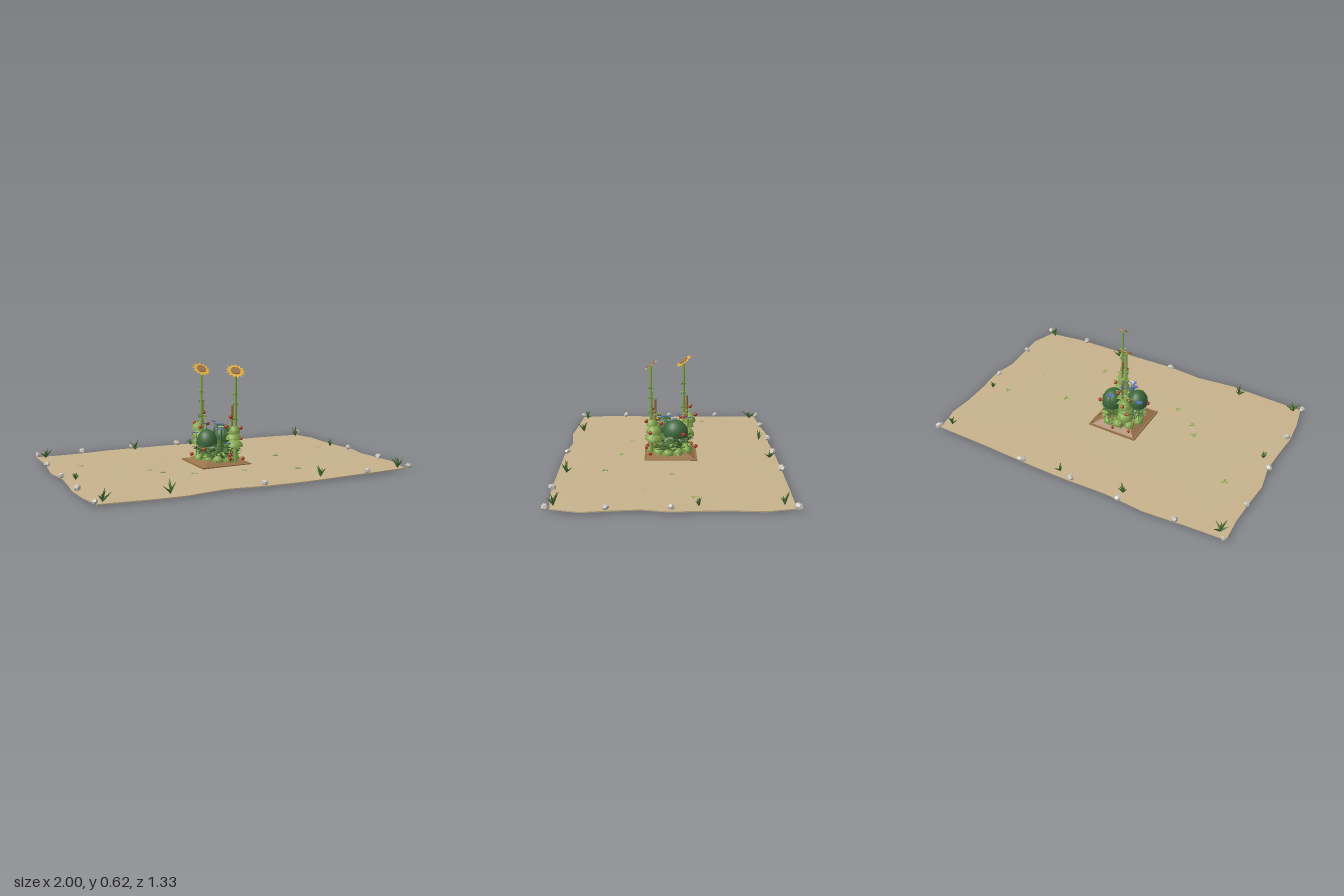
import * as THREE from 'three';
import { mergeGeometries } from 'three/addons/utils/BufferGeometryUtils.js';

const mat = (name, color, open = false) => {
  const m = new THREE.MeshStandardMaterial({ color });
  m.name = name;
  if (open) m.side = THREE.DoubleSide;
  return m;
};

export function createModel() {
  const model = new THREE.Group();
  model.name = 'gardenPatch';
  const M = {
    sand: mat('sand', 0xc7b28c), soil: mat('soil', 0x98734b), bush: mat('bushGreen', 0x3e683c, true),
    leaf: mat('leafGreen', 0x86a94e, true), grass: mat('grassGreen', 0x4a7034, true),
    red: mat('red', 0xb8322b), yellow: mat('petalYellow', 0xeab43a, true),
    seed: mat('seedBrown', 0x9a7450), stone: mat('stoneGrey', 0xcac5bc, true), blue: mat('petalBlue', 0x4a6cba, true),
  };
  let seed = 7;
  const rnd = (a = 0, b = 1) => {
    seed = (seed * 16807) % 2147483647;
    return a + (b - a) * seed / 2147483647;
  };

  // Collects copies of small shapes, merged into one mesh per part
  const parts = {};
  const put = (name, material, geo, x, y, z, rx = 0, ry = 0, rz = 0, s = [1, 1, 1], flat = false) => {
    const g = geo.index ? geo.toNonIndexed() : geo.clone();
    g.deleteAttribute('uv');
    g.applyMatrix4(new THREE.Matrix4().compose(new THREE.Vector3(x, y, z),
      new THREE.Quaternion().setFromEuler(new THREE.Euler(rx, ry, rz, 'YXZ')), new THREE.Vector3(...s)));
    if (flat) g.computeVertexNormals();
    (parts[name] ??= { material, list: [] }).list.push(g);
  };

  // Folded leaf pointing along +z, unit length, upper face forward
  const leafGeo = new THREE.BufferGeometry();
  leafGeo.setAttribute('position', new THREE.Float32BufferAttribute([
    0, 0, 0, 0, -0.08, 1, 0.5, 0.1, 0.4, 0, 0, 0, -0.5, 0.1, 0.4, 0, -0.08, 1], 3));
  leafGeo.computeVertexNormals();
  const leaf = (name, m, x, y, z, yaw, pitch, len, w) =>
    put(name, m, leafGeo, x, y, z, -pitch, yaw, 0, [w, len, len], true);
  const whorl = (name, m, x, y, z, n, pitch, len, w, turn = 0) => {
    for (let i = 0; i < n; i++) leaf(name, m, x, y, z, turn + i * 2 * Math.PI / n, pitch, len, w);
  };

  // Uneven sheet of ground with a wavy outline
  const edge = {
    left: [0.98, 0.975, 0.985, 1, 0.975, 0.985, 1, 0.99, 0.96],
    right: [0.955, 0.99, 0.98, 0.985, 1, 0.97, 0.985, 1, 0.95],
    back: [0.63, 0.64, 0.66, 0.645, 0.652, 0.65, 0.645, 0.64, 0.635],
    front: [0.63, 0.645, 0.66, 0.632, 0.655, 0.652, 0.648, 0.642, 0.615],
  };
  const sample = (a, t) => {
    const i = Math.min(7, Math.floor(t * 8));
    return THREE.MathUtils.lerp(a[i], a[i + 1], t * 8 - i);
  };
  const ground = new THREE.BoxGeometry(2, 0.006, 1.3, 24, 1, 16);
  const p = ground.attributes.position;
  for (let i = 0; i < p.count; i++) {
    const u = p.getX(i), v = p.getZ(i) / 0.65;
    const tx = (u + 1) / 2, tz = (v + 1) / 2;
    const rim = Math.max(Math.abs(u), Math.abs(v)) ** 4;
    p.setXYZ(i, u * sample(u < 0 ? edge.left : edge.right, tz),
      p.getY(i) + 0.012 - 0.004 * rim + 0.002 * Math.sin(u * 7 + v * 3),
      v * sample(v < 0 ? edge.back : edge.front, tx));
  }
  ground.computeVertexNormals();
  put('ground', M.sand, ground, 0, 0, 0);

  // Planting bed: thin rim sunk through the ground, low mound on top
  for (const s of [-1, 1]) {
    put('bedRim', M.soil, new THREE.BoxGeometry(0.012, 0.022, 0.32), -0.007 + s * 0.156, 0.011, -0.004);
    put('bedRim', M.soil, new THREE.BoxGeometry(0.3, 0.022, 0.012), -0.007, 0.011, -0.004 + s * 0.154);
  }
  put('bedMound', M.soil, new THREE.CylinderGeometry(0.14, 0.223, 0.034, 4, 1), -0.007, 0.029, -0.004, 0, Math.PI / 4, 0, [1, 1, 1], true);

  // Border stones
  const rock = new THREE.DodecahedronGeometry(1, 0);
  [[-0.97, -0.64], [-0.68, -0.64], [-0.33, -0.65], [-0.01, -0.64], [0.33, -0.645], [0.965, -0.64], [-0.98, -0.34],
    [-0.98, 0], [-0.975, 0.32], [0.97, 0], [0.97, 0.33], [-0.97, 0.63], [-0.02, 0.64], [0.66, 0.64], [0.965, 0.635],
  ].forEach(([x, z]) => {
    const s = rnd(0.016, 0.022);
    put('borderStones', M.stone, rock, x, 0.026, z, rnd(0, 3), rnd(0, 3), rnd(0, 3), [s, s * rnd(1, 1.35), s * 0.85], true);
  });

  // Grass tufts along the border
  [[-0.93, -0.59], [-0.33, -0.59], [0.08, -0.61], [0.91, -0.58], [0.92, -0.14], [-0.92, 0.08], [-0.92, 0.6],
    [-0.55, 0.59], [0.365, 0.6], [0.91, 0.6]].forEach(([x, z], k) => {
    const s = k === 2 || k === 4 || k === 5 ? 0.7 : 1;
    for (let i = 0; i < 7; i++)
      leaf('grassTufts', M.grass, x, 0.01, z, i * 0.9 + rnd(), rnd(0.75, 1.45), s * rnd(0.045, 0.08), 0.014);
  });

  // Small sprouts on the open ground
  [[-0.8, -0.23], [-0.47, 0.06], [-0.42, 0.145], [-0.27, 0.245], [0.03, 0.3], [0.35, 0.38], [0.42, -0.01], [0.81, -0.12]]
    .forEach(([x, z]) => whorl('sprouts', M.leaf, x, 0.017, z, 3, 0.2, 0.025, 0.018, rnd(0, 6)));
  [[0.04, -0.475], [-0.3, -0.18], [0.7, 0.14]].forEach(([x, z]) =>
    leaf('sprouts', M.leaf, x, 0.018, z, rnd(0, 6), 0.2, 0.014, 0.008));

  // Big domed bushes over a small inner core
  const dome = new THREE.SphereGeometry(1, 16, 10, 0, Math.PI * 2, 0, Math.PI * 0.6);
  put('darkBushes', M.bush, dome, 0.05, 0.165, -0.035, 0, 0, 0, [0.068, 0.08, 0.074]);
  put('darkBushes', M.bush, dome, -0.088, 0.158, 0.035, 0, 0, 0, [0.06, 0.075, 0.066]);
  put('bushCore', M.grass, dome, -0.01, 0.07, 0, 0, 0, 0, [0.075, 0.09, 0.075]);

  // Light leafy caps, high ones beside the stakes and low ones around the bed
  const cap = new THREE.SphereGeometry(1, 10, 4, 0, Math.PI * 2, 0, Math.PI / 2);
  [[0.065, 0.12, 0.1, 0.055, 0.05], [0.06, 0.165, 0.1, 0.048, 0.048], [0.062, 0.21, 0.11, 0.035, 0.045],
    [-0.07, 0.12, -0.1, 0.052, 0.05], [-0.075, 0.165, -0.1, 0.048, 0.045], [-0.08, 0.205, -0.12, 0.04, 0.05],
  ].forEach(([x, y, z, r, h]) => put('lightLeafCaps', M.leaf, cap, x, y, z, 0.15, rnd(0, 6), 0, [r, h, r]));
  for (let i = 0; i < 10; i++) {
    const a = i * 0.628 + 0.2, r = rnd(0.095, 0.125);
    put('lowLeafCaps', M.leaf, cap, Math.sin(a) * r, 0.042, Math.cos(a) * r, 0.2, a, 0, [0.034, 0.034, 0.028]);
  }

  // Dense foliage skirt
  for (let i = 0; i < 230; i++) {
    const a = rnd(0, Math.PI * 2), r = rnd(0.065, 0.115);
    leaf('darkFoliage', M.grass, Math.sin(a) * r, rnd(0.05, 0.15), Math.cos(a) * r, a + rnd(-0.7, 0.7), rnd(-0.5, 0.6), rnd(0.03, 0.055), rnd(0.014, 0.026));
  }
  for (let i = 0; i < 80; i++) {
    const a = rnd(0, Math.PI * 2), r = rnd(0.09, 0.12);
    leaf('lightFoliage', M.leaf, Math.sin(a) * r, rnd(0.04, 0.12), Math.cos(a) * r, a + rnd(-0.6, 0.6), rnd(-0.3, 0.5), rnd(0.03, 0.045), 0.024);
  }

  // Stakes carrying red fruit under small leaves
  const fruit = new THREE.SphereGeometry(0.012, 8, 6);
  [[0.055, 0.09], [-0.055, -0.105]].forEach(([x, z], k) => {
    const s = k ? -1 : 1;
    put('stakes', M.soil, new THREE.CylinderGeometry(0.007, 0.007, 0.365, 6), x, 0.1925, z);
    [[0.03, 0.245, 0.055], [-0.03, 0.245, -0.015], [0.045, 0.175, 0.03], [-0.02, 0.31, 0.02], [0.03, 0.23, -0.035],
      [0.06, 0.05, 0.03], [-0.04, 0.06, 0.055]].forEach(([dx, y, dz]) => {
      put('redFruit', M.red, fruit, x + s * dx, y, z + s * dz);
      whorl('fruitLeaves', M.leaf, x + s * dx, y + 0.01, z + s * dz, 3, -0.1, 0.022, 0.016, dx * 40);
    });
    for (let j = 0; j < 4; j++) whorl('fruitLeaves', M.leaf, x, 0.21 + j * 0.025, z, 4, 0, 0.042, 0.028, j);
  });
  [[0.12, 0.17, -0.08], [-0.13, 0.12, 0.09], [0.02, 0.08, 0.13]].forEach((c) => put('redFruit', M.red, fruit, ...c));

  // Blue and pale blossoms among the bushes
  [[-0.05, 0.235, 0.06, 1], [0.0, 0.25, 0.0, 1], [-0.02, 0.23, 0.1, 1], [0.01, 0.15, 0.13, 1], [-0.05, 0.25, -0.06, 1],
    [-0.02, 0.22, 0.0, 0], [-0.015, 0.245, 0.08, 0], [0.12, 0.145, 0.0, 0], [0.02, 0.25, 0.06, 1], [-0.13, 0.2, -0.03, 1],
    [0.03, 0.25, -0.11, 1]].forEach(([x, y, z, b]) => {
    put('blossomStems', M.grass, new THREE.CylinderGeometry(0.002, 0.002, y - 0.05, 5), x, (y + 0.05) / 2, z);
    whorl(b ? 'blueBlossoms' : 'paleBlossoms', b ? M.blue : M.stone, x, y, z, 6, 0.25, 0.025, 0.02, x * 30);
    put('blossomCentres', M.seed, fruit, x, y + 0.003, z, 0, 0, 0, [0.4, 0.3, 0.4]);
  });

  // Tall sunflowers with tilted heads
  [[-0.07, -0.085, 0.15], [0.065, 0.115, -0.15]].forEach(([x, z, yaw]) => {
    put('sunflowerStems', M.leaf, new THREE.CylinderGeometry(0.007, 0.011, 0.57, 7), x, 0.295, z);
    [0.3, 0.39, 0.45].forEach((y, j) => {
      whorl('sunflowerLeaves', M.leaf, x, y, z, 4, 0.25, 0.028 - j * 0.002, 0.022, j);
      whorl('sunflowerUnderLeaves', M.grass, x, y, z, 4, -0.4, 0.026 - j * 0.002, 0.022, j + 0.8);
    });
    const head = new THREE.Group();
    head.name = 'sunflowerHead';
    head.position.set(x, 0.587, z);
    head.rotation.set(0.66, yaw, 0, 'YXZ');
    const disc = new THREE.Mesh(new THREE.CylinderGeometry(0.029, 0.031, 0.006, 16), M.seed);
    disc.name = 'seedDisc';
    disc.position.y = 0.004;
    const petals = [];
    for (let i = 0; i < 13; i++)
      petals.push(leafGeo.clone().scale(0.028, 0.015, 0.043).translate(0, 0, 0.018).rotateY(i * 2 * Math.PI / 13));
    const ring = new THREE.Mesh(mergeGeometries(petals), M.yellow);
    ring.name = 'petals';
    ring.geometry.computeVertexNormals();
    const back = new THREE.Mesh(new THREE.CylinderGeometry(0.032, 0.028, 0.003, 16), M.yellow);
    back.name = 'headBack';
    head.add(disc, ring, back);
    model.add(head);
  });

  for (const [name, { material, list }] of Object.entries(parts)) {
    const mesh = new THREE.Mesh(mergeGeometries(list), material);
    mesh.name = name;
    model.add(mesh);
  }
  return model;
}
